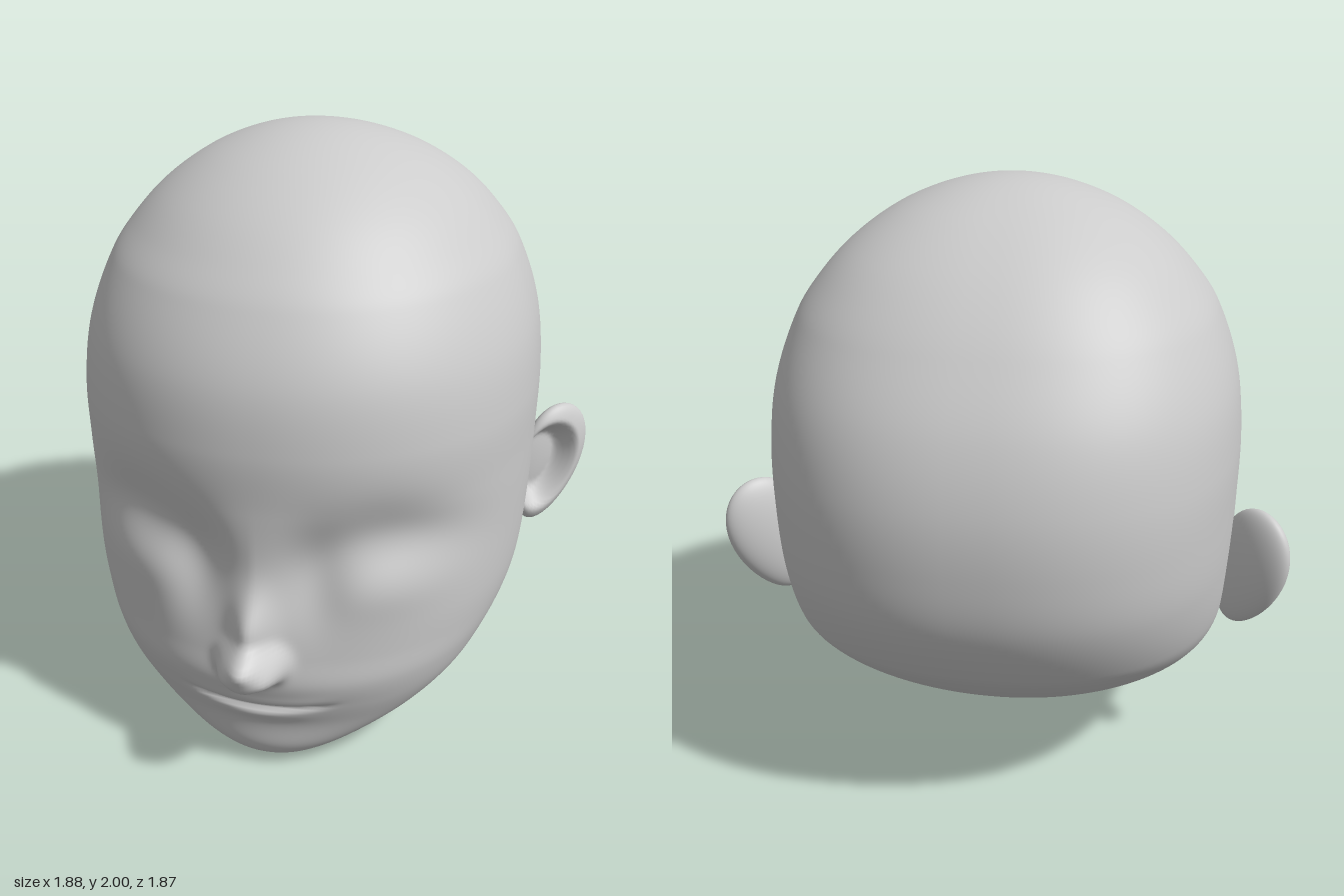
import * as THREE from 'three';

const material = new THREE.MeshStandardMaterial({ color: 0xcccccc });
const ROWS = 210, COLS = 200;

// Horizontal slices: height, half width, front z, widest z, back z, back and front roundness
const SLICES = [
  [0, 0, 0.58, 0.58, 0.58, 1.9, 2],
  [0.02, 0.15, 0.655, 0.54, 0.42, 1.9, 2],
  [0.05, 0.23, 0.69, 0.5, 0.25, 1.85, 2],
  [0.1, 0.335, 0.715, 0.44, 0.03, 1.82, 2],
  [0.2, 0.5, 0.73, 0.33, -0.25, 1.9, 2.02],
  [0.3, 0.615, 0.765, 0.2, -0.43, 2.02, 2.05],
  [0.4, 0.685, 0.795, 0.08, -0.58, 2.15, 2.08],
  [0.5, 0.73, 0.79, 0, -0.7, 2.25, 2.1],
  [0.6, 0.75, 0.785, -0.03, -0.79, 2.35, 2.12],
  [0.8, 0.763, 0.774, -0.04, -0.895, 2.42, 2.12],
  [1.0, 0.768, 0.774, -0.04, -0.928, 2.45, 2.12],
  [1.2, 0.768, 0.778, -0.04, -0.92, 2.45, 2.12],
  [1.4, 0.742, 0.745, -0.05, -0.86, 2.48, 2.1],
  [1.6, 0.67, 0.645, -0.06, -0.742, 2.5, 2.05],
  [1.7, 0.603, 0.563, -0.065, -0.665, 2.5, 2],
  [1.8, 0.51, 0.457, -0.07, -0.565, 2.5, 2],
  [1.9, 0.37, 0.305, -0.07, -0.425, 2.4, 2],
  [1.95, 0.262, 0.195, -0.07, -0.32, 2.3, 2],
  [2, 0, -0.07, -0.07, -0.07, 2, 2],
];
const angleOf = (y) => Math.acos(1 - y);
const knots = SLICES.map((s) => angleOf(s[0]));

// Smooth interpolation of one slice column at a polar angle
function sample(col, a) {
  const last = SLICES.length - 1;
  let i = 0;
  while (i < last - 1 && a > knots[i + 1]) i++;
  const slope = (k) => {
    const p = Math.max(0, k - 1), q = Math.min(last, k + 1);
    return (SLICES[q][col] - SLICES[p][col]) / (knots[q] - knots[p]);
  };
  const h = knots[i + 1] - knots[i], t = (a - knots[i]) / h;
  const t2 = t * t, t3 = t2 * t;
  return (2 * t3 - 3 * t2 + 1) * SLICES[i][col] + (t3 - 2 * t2 + t) * h * slope(i)
    + (3 * t2 - 2 * t3) * SLICES[i + 1][col] + (t3 - t2) * h * slope(i + 1);
}

// Soft bump of height 1; a higher power gives a flatter top and steeper sides
const bump = (x, y, cx, cy, sx, sy, power = 1) =>
  Math.exp(-Math.pow(((x - cx) / sx) ** 2 + ((y - cy) / sy) ** 2, power));

// Forward displacement of the face, mirrored in x
function faceRelief(px, y) {
  const x = Math.abs(px);
  let d = 0;
  // eye sockets with arched brows, closed lids and inner corners
  const arch = y + 0.9 * (x - 0.38) ** 2;
  d -= 0.058 * bump(x, arch, 0.4, 0.89, 0.24, 0.13);
  d += 0.026 * bump(x, y, 0.43, 0.77, 0.19, 0.12);
  d -= 0.04 * bump(x, y, 0.18, 0.77, 0.1, 0.17);
  // nose bridge, tip, wings and nostrils
  d += 0.072 * bump(x, y, 0, 0.61, 0.06, 0.11);
  d += 0.118 * bump(x, y, 0, 0.495, 0.098, 0.074, 2);
  d += 0.022 * bump(x, y, 0.085, 0.475, 0.032, 0.04);
  d -= 0.022 * bump(x, y, 0.05, 0.43, 0.022, 0.014);
  // mouth line and lips
  const line = 0.292 + 0.3 * x * x, span = Math.exp(-((x / 0.225) ** 6));
  d -= 0.018 * span * Math.exp(-(((y - line) / 0.012) ** 2));
  d += 0.004 * span * Math.exp(-(((y - line - 0.03) / 0.022) ** 2));
  d += 0.012 * bump(x, y, 0, 0.258, 0.13, 0.028);
  return d;
}

function headGeometry() {
  const positions = [], index = [];
  for (let r = 0; r <= ROWS; r++) {
    const a = (Math.PI * r) / ROWS, y = 1 - Math.cos(a);
    const [w, front, mid, back, backRound, frontRound] =
      [1, 2, 3, 4, 5, 6].map((c) => sample(c, a));
    for (let c = 0; c < COLS; c++) {
      // columns crowd towards the face
      const u = (c / COLS) * Math.PI * 2, th = u - 0.55 * Math.sin(u);
      const s = Math.sin(th), k = Math.cos(th);
      const e = 2 / (k > 0 ? frontRound : backRound);
      const x = w * Math.sign(s) * Math.abs(s) ** e;
      let z = mid + (k > 0 ? front - mid : back - mid) * Math.abs(k) ** e;
      if (k > 0) z += faceRelief(x, y) * THREE.MathUtils.smoothstep(k, 0.1, 0.6);
      positions.push(x, y, z);
      if (r < ROWS) {
        const n = (c + 1) % COLS, p = r * COLS, q = p + COLS;
        index.push(p + c, p + n, q + n, p + c, q + n, q + c);
      }
    }
  }
  const g = new THREE.BufferGeometry();
  g.setAttribute('position', new THREE.Float32BufferAttribute(positions, 3));
  g.setIndex(index);
  g.computeVertexNormals();
  return g;
}

// Flattened ball with a hollow on its front, angled out and back from the head
function earGeometry(side) {
  const g = new THREE.SphereGeometry(1, 48, 40).rotateX(Math.PI / 2);
  const p = g.attributes.position;
  for (let i = 0; i < p.count; i++) {
    const X = p.getX(i), Y = p.getY(i), Z = p.getZ(i);
    const out = 0.14 * X * (1 + 0.15 * Y) + 0.045 * Y - 0.02 * Y * Y;
    const up = 0.22 * Y;
    let thick = 0.06 * Z;
    if (Z > 0) {
      const r = Math.hypot((X + 0.25) / 0.9, Y / 0.85);
      thick -= 0.085 * (1 - THREE.MathUtils.smoothstep(r, 0.5, 0.95));
    }
    p.setXYZ(i, side * (0.825 + 0.73 * out + 0.68 * thick), 0.77 + up,
      -0.265 - 0.68 * out + 0.73 * thick);
  }
  if (side < 0) {
    const id = g.index.array;
    for (let i = 0; i < id.length; i += 3) [id[i], id[i + 1]] = [id[i + 1], id[i]];
  }
  g.computeVertexNormals();
  return g;
}

export function createModel() {
  const model = new THREE.Group();
  model.name = 'head';
  const add = (name, geometry) => {
    const mesh = new THREE.Mesh(geometry, material);
    mesh.name = name;
    model.add(mesh);
  };
  add('skullAndFace', headGeometry());
  add('leftEar', earGeometry(1));
  add('rightEar', earGeometry(-1));
  return model;
}
